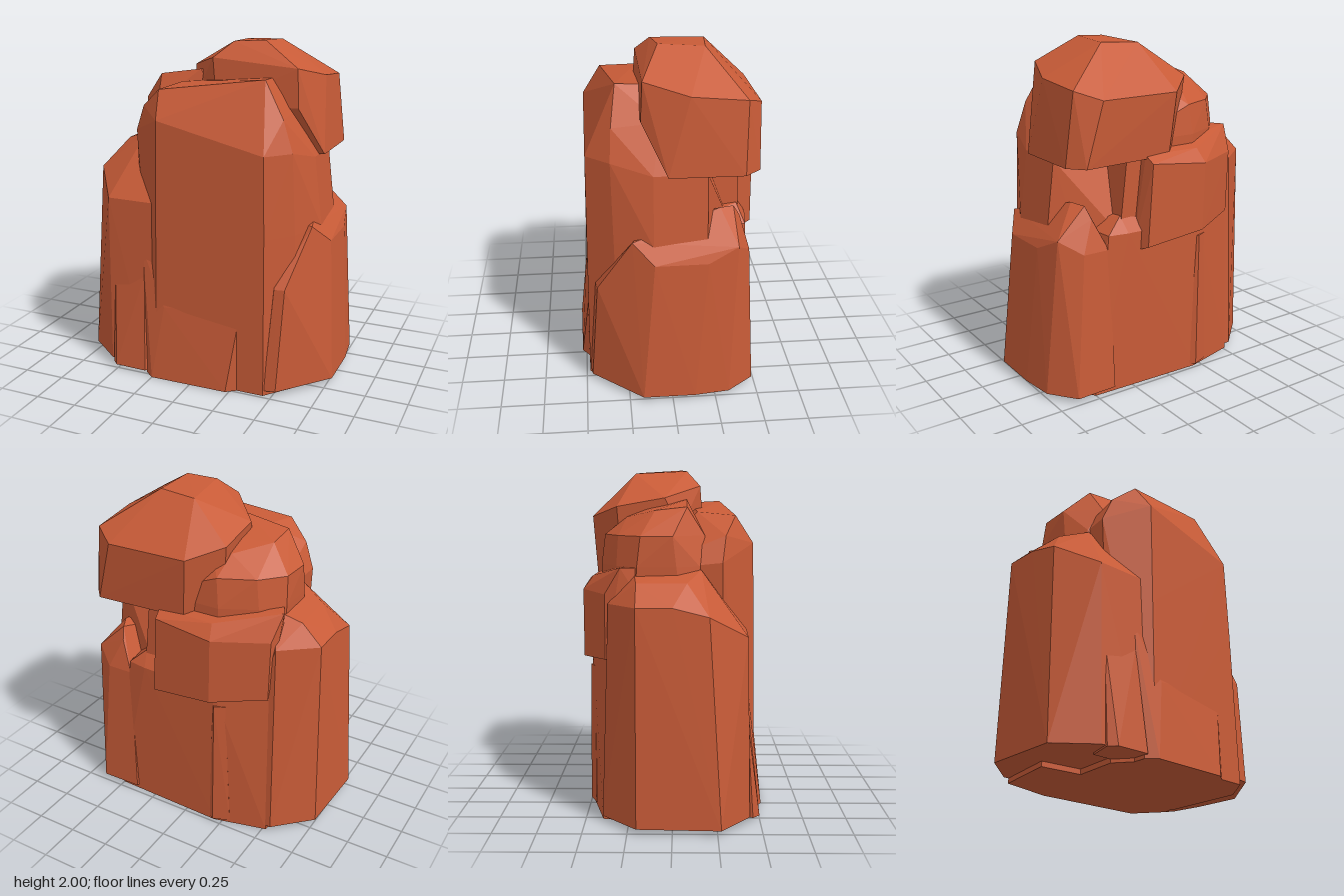
import * as THREE from 'three';
import { ConvexGeometry } from 'three/addons/geometries/ConvexGeometry.js';

const sandstone = new THREE.MeshStandardMaterial({ color: 0xc85b37 });
sandstone.name = 'sandstone';

// One level of a rock: a height and corner pairs [x, z, optional own height]
const ring = (y, corners) => corners.map(([x, z, h = y]) => new THREE.Vector3(x, h, z));

// A faceted boulder wrapped around its levels
function rock(name, ...rings) {
  const mesh = new THREE.Mesh(new ConvexGeometry(rings.flat()), sandstone);
  mesh.name = name;
  return mesh;
}

export function createModel() {
  const group = new THREE.Group();
  group.name = 'rockFormation';

  group.add(
    // Tall pillar at the front
    rock('frontPillar',
      ring(0, [[-0.24, 0.49], [0.45, 0.48], [0.6, 0.3], [0.62, -0.2], [0.3, -0.42], [-0.3, -0.35], [-0.38, 0.3]]),
      ring(0.95, [[-0.2, 0.475], [0.44, 0.47], [0.57, 0.32], [0.66, 0.1], [0.65, -0.2], [0.3, -0.36]]),
      ring(1.42, [[-0.22, 0.465, 1.57], [0.43, 0.465], [0.55, 0.33], [0.61, 0.1, 1.36], [0.6, -0.2, 1.36],
        [-0.44, 0.28, 1.47], [-0.4, -0.2]]),
      ring(1.62, [[-0.38, 0.3], [0.49, 0.32, 1.6], [0.48, 0.05]]),
      ring(1.75, [[-0.25, 0.36, 1.73], [0.37, 0.29, 1.81], [-0.2, 0.14], [0.36, 0.1, 1.8]])),

    // Overhanging cap boulder
    rock('capBoulder',
      ring(1.36, [[0.64, 0.02], [0.64, -0.4], [0.56, -0.49], [0, -0.46], [-0.16, -0.3], [-0.14, -0.04], [0.1, 0.03]]),
      ring(1.64, [[0.52, 0.16], [0.03, 0.18], [-0.17, 0.04]]),
      ring(1.78, [[0.51, 0.15, 1.86], [0.6, -0.1, 1.8], [0.59, -0.41, 1.77], [0.46, -0.5, 1.72],
        [-0.03, -0.485, 1.72], [-0.2, -0.33], [-0.2, -0.05, 1.83], [0, 0.16, 1.9]]),
      ring(2, [[0.1, 0.08, 1.99], [0.28, 0.05], [0.29, -0.21, 1.985], [0.06, -0.23, 1.975]])),

    // Shoulder behind the pillar
    rock('upperShoulder',
      ring(1, [[-0.5, 0.08], [-0.5, -0.22], [-0.2, -0.42], [0.3, -0.42], [0.3, 0.1], [-0.32, 0.2]]),
      ring(1.45, [[-0.51, 0.02], [-0.51, -0.2], [-0.4, -0.32], [-0.2, -0.42], [0.25, -0.42], [-0.44, 0.15], [-0.35, 0.2]]),
      ring(1.62, [[-0.51, 0], [-0.5, -0.18], [-0.38, -0.31], [-0.18, -0.4], [-0.35, 0.18]]),
      ring(1.8, [[-0.37, 0.08, 1.78], [-0.37, -0.1, 1.76], [-0.11, 0.08, 1.82], [-0.03, -0.2, 1.77], [-0.2, -0.27, 1.72]])),

    // Lower rock on the right-hand side of the front
    rock('sideRock',
      ring(0.03, [[-0.57, 0.44], [-0.3, 0.46], [-0.78, 0.27], [-0.76, -0.2], [-0.55, -0.4], [-0.1, -0.4]]),
      ring(1.07, [[-0.57, 0.42], [-0.25, 0.43], [-0.73, 0.2, 1.2], [-0.63, 0.32, 1.12]]),
      ring(1.25, [[-0.73, 0], [-0.73, -0.2], [-0.53, -0.36]]),
      ring(1.37, [[-0.6, 0.08], [-0.61, -0.2], [-0.44, 0.16, 1.43], [-0.44, -0.22, 1.42], [-0.3, 0.1, 1.42]])),

    // Jutting slab at the back
    rock('backSlab',
      ring(0.85, [[0.18, -0.52, 0.86], [0.22, -0.42, 0.82], [-0.2, -0.53, 0.9], [-0.5, -0.38, 0.93], [-0.4, 0, 0.95], [0.2, 0]]),
      ring(1.3, [[0.15, -0.52, 1.34], [-0.21, -0.53], [-0.51, -0.38]]),
      ring(1.42, [[0.16, -0.46, 1.38], [-0.19, -0.47, 1.38], [-0.48, -0.32], [-0.54, -0.29, 1.45], [-0.4, 0, 1.44], [0.15, -0.2]])),

    // Broad base block at the back
    rock('backBase',
      ring(0, [[0.63, -0.28], [0.5, -0.46], [-0.2, -0.48], [-0.52, -0.4], [-0.6, 0], [0.5, 0.1]]),
      ring(0.95, [[0.4, -0.45], [0.28, -0.47], [-0.2, -0.48], [-0.5, -0.37], [-0.5, 0], [0.45, 0]]),
      ring(1.04, [[0.3, -0.41], [0.2, -0.2], [-0.3, -0.2]])),

    // Wide buttress on the left-hand side
    rock('leftButtress',
      ring(0.03, [[0.45, 0.475], [0.52, 0.465], [0.775, 0.17], [0.775, -0.13], [0.75, -0.33], [0.63, -0.485],
        [0.38, -0.48], [0.3, 0.1]]),
      ring(0.65, [[0.49, 0.43], [0.55, 0.42]]),
      ring(0.87, [[0.72, 0.1], [0.715, -0.2], [0.68, -0.37, 0.95], [0.56, -0.45], [0.4, -0.45]]),
      ring(1, [[0.64, 0.22, 0.98], [0.54, -0.28, 1.13], [0.5, -0.36, 1.12], [0.48, -0.4, 1.05], [0.4, 0.1]])),

    // Thin wedges split off along the foot
    rock('frontFoot',
      ring(0, [[-0.25, 0.53], [0.23, 0.525], [0.29, 0.48], [-0.31, 0.48], [-0.3, 0.3], [0.28, 0.3]]),
      ring(0.5, [[0.3, 0.465], [-0.18, 0.485, 0.45], [0.28, 0.3], [-0.34, 0.43, 0.77], [-0.3, 0.3]])),
    rock('sideFoot',
      ring(0.02, [[-0.51, 0.5], [-0.31, 0.505], [-0.55, 0.46], [-0.29, 0.47], [-0.5, 0.3], [-0.3, 0.3]]),
      ring(0.62, [[-0.54, 0.42], [-0.33, 0.44], [-0.5, 0.3], [-0.33, 0.3]])),
    rock('backSpur',
      ring(0.02, [[-0.3, -0.46], [-0.2, -0.5], [-0.14, -0.46], [-0.2, -0.3]]),
      ring(0.85, [[-0.27, -0.46], [-0.21, -0.49], [-0.18, -0.46], [-0.2, -0.3]])),
  );
  return group;
}
